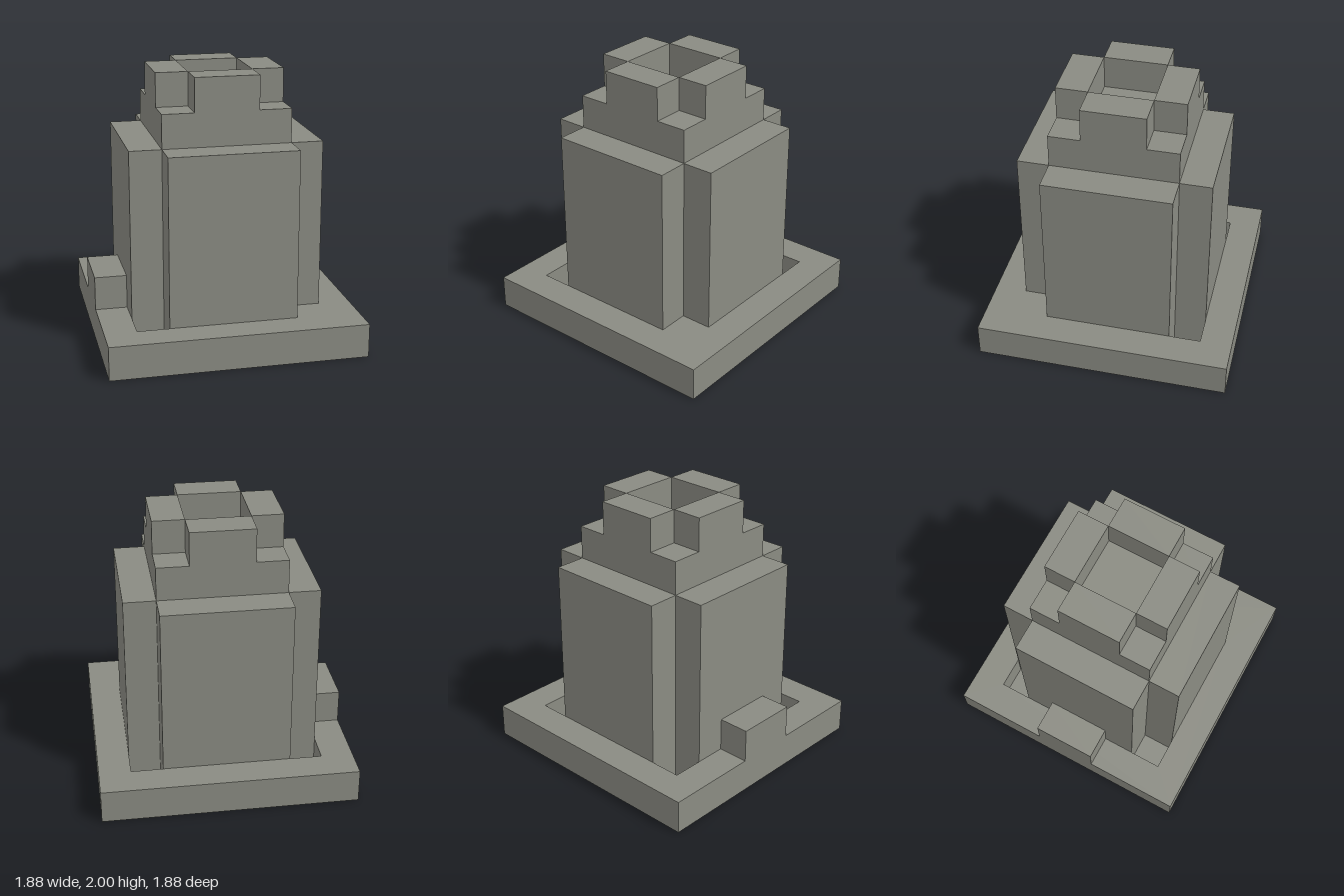
import * as THREE from 'three';

const U = 0.235; // grid cell in plan
const H = 0.25;  // height of one layer

export function createModel() {
  const model = new THREE.Group();
  model.name = 'steppedTower';
  const stone = new THREE.MeshStandardMaterial({ color: 0x8a8b82, side: THREE.DoubleSide });
  stone.name = 'greyStone';

  const rect = (x0, x1, z0, z1) => [[x0, z0], [x1, z0], [x1, z1], [x0, z1]];
  const points = (cells) => cells.map(([x, z]) => new THREE.Vector2(x * U, -z * U));

  function add(name, geometry) {
    const mesh = new THREE.Mesh(geometry, stone);
    mesh.name = name;
    model.add(mesh);
    return mesh;
  }

  // Hollow prism standing on the ground, with an open underside
  function prism(name, outline, layers, hole) {
    const shape = new THREE.Shape(points(outline));
    if (hole) shape.holes.push(new THREE.Path(points(hole)));
    const solid = new THREE.ExtrudeGeometry(shape, { depth: layers * H, bevelEnabled: false });
    solid.rotateX(-Math.PI / 2);
    const p = solid.attributes.position;
    const kept = [];
    for (let i = 0; i < p.count; i += 3) {
      if (Math.max(p.getY(i), p.getY(i + 1), p.getY(i + 2)) < 0.001) continue;
      for (let j = i; j < i + 3; j++) kept.push(p.getX(j), p.getY(j), p.getZ(j));
    }
    const geometry = new THREE.BufferGeometry();
    geometry.setAttribute('position', new THREE.Float32BufferAttribute(kept, 3));
    geometry.computeVertexNormals();
    return add(name, geometry);
  }

  // Base frame, with its front left inner corner filled
  prism('baseFrame', rect(-4, 4, -4, 4), 1,
    [[-3, -3], [3, -3], [3, 2], [2, 2], [2, 3], [-3, 3]]);

  // Doorstep on one side
  prism('step', rect(-4, -3, -1, 1), 2);

  // Floors of the three sunken corners
  for (const [x, z] of [[-2.5, -2.5], [2.5, -2.5], [-2.5, 2.5]]) {
    const floor = new THREE.PlaneGeometry(U, U).rotateX(-Math.PI / 2);
    floor.translate(x * U, 0, z * U);
    add('cornerFloor', floor);
  }

  // Four wall slabs, and the crown blocks above them
  for (const s of [-1, 1]) {
    const span = (a, b) => (s < 0 ? [-b, -a] : [a, b]);
    prism('sideWall', rect(...span(2, 3), -2, 2), 6);
    prism('endWall', rect(-2, 2, ...span(2, 3)), 6);
    prism('sideCrown', rect(...span(1, 2), -1, 1), 8);
    prism('endCrown', rect(-1, 1, ...span(1, 2)), 8);
    // Lower corners between the crown blocks
    for (const t of [-1, 1]) {
      const zs = t < 0 ? [-2, -1] : [1, 2];
      prism('crownCorner', rect(...span(1, 2), ...zs), 7);
    }
  }

  // Sunken floor inside the crown
  prism('core', rect(-1, 1, -1, 1), 7);

  return model;
}
